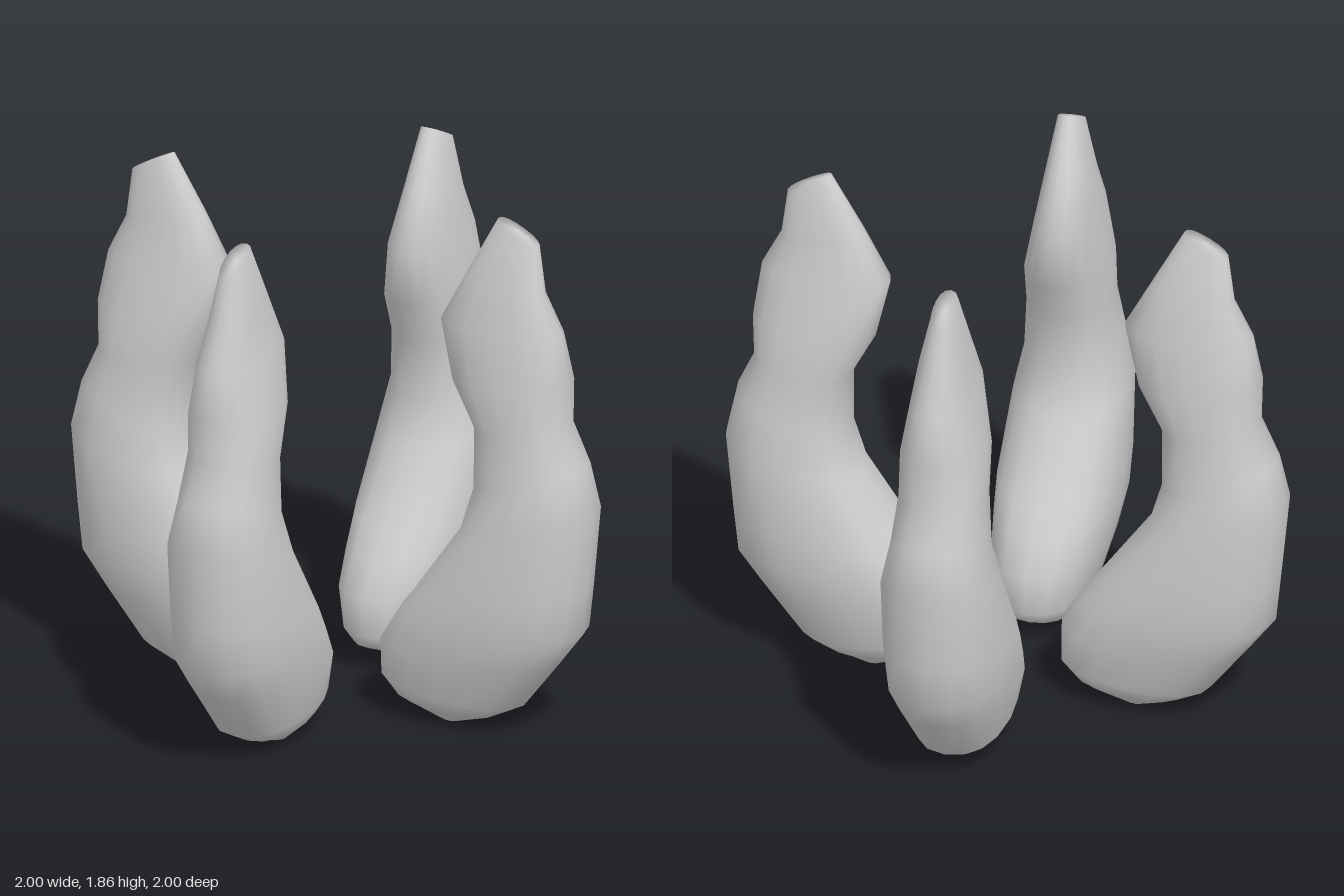
import * as THREE from 'three';

// Cross-sections of one stone, bottom to top:
// inner edge x, y; outer edge x, y; half thickness; sideways shift
const SECTIONS = [
  [0.43, 0.005, 0.52, 0.01, 0.06, 0],
  [0.24, 0.085, 0.63, 0.04, 0.12, 0],
  [0.195, 0.14, 0.73, 0.09, 0.155, 0],
  [0.195, 0.275, 0.87, 0.27, 0.195, 0],
  [0.265, 0.39, 0.96, 0.39, 0.21, 0],
  [0.33, 0.475, 0.975, 0.55, 0.215, 0],
  [0.515, 0.73, 1.0, 0.84, 0.2, 0],
  [0.56, 0.88, 0.965, 1.0, 0.165, 0],
  [0.56, 1.1, 0.9, 1.14, 0.15, 0],
  [0.475, 1.26, 0.91, 1.3, 0.145, 0.005],
  [0.425, 1.475, 0.885, 1.475, 0.105, 0.015],
  [0.52, 1.65, 0.815, 1.61, 0.08, 0.015],
  [0.635, 1.86, 0.79, 1.78, 0.042, 0.005],
];
const SIDES = 16;

// Slightly blunted ellipse
const blunt = (v) => Math.sign(v) * Math.pow(Math.abs(v), 0.88);

function stoneGeometry() {
  const pos = [];
  const index = [];
  for (const [xi, yi, xo, yo, w, shift] of SECTIONS) {
    for (let j = 0; j < SIDES; j++) {
      const t = (j / SIDES) * Math.PI * 2;
      const k = (blunt(Math.cos(t)) + 1) / 2;
      pos.push(xi + (xo - xi) * k, yi + (yo - yi) * k, shift + w * blunt(Math.sin(t)));
    }
  }
  // Skin between neighbouring sections
  for (let i = 0; i < SECTIONS.length - 1; i++) {
    for (let j = 0; j < SIDES; j++) {
      const a = i * SIDES + j;
      const b = i * SIDES + ((j + 1) % SIDES);
      index.push(a, a + SIDES, b, b, a + SIDES, b + SIDES);
    }
  }
  // End caps
  const last = SECTIONS.length - 1;
  for (const i of [0, last]) {
    const [xi, yi, xo, yo, , shift] = SECTIONS[i];
    const centre = pos.length / 3;
    pos.push((xi + xo) / 2, (yi + yo) / 2 + (i ? 0.004 : -0.004), shift);
    for (let j = 0; j < SIDES; j++) {
      const a = i * SIDES + j;
      const b = i * SIDES + ((j + 1) % SIDES);
      if (i) index.push(centre, b, a);
      else index.push(centre, a, b);
    }
  }
  const geometry = new THREE.BufferGeometry();
  geometry.setAttribute('position', new THREE.Float32BufferAttribute(pos, 3));
  geometry.setIndex(index);
  geometry.computeVertexNormals();
  return geometry;
}

export function createModel() {
  const group = new THREE.Group();
  group.name = 'standingStones';
  const geometry = stoneGeometry();
  const material = new THREE.MeshStandardMaterial({ color: 0xcccccc });
  // Four equal stones turned around the centre
  ['leftStone', 'backStone', 'rightStone', 'frontStone'].forEach((name, i) => {
    const stone = new THREE.Mesh(geometry, material);
    stone.name = name;
    stone.rotation.y = (i * Math.PI) / 2;
    group.add(stone);
  });
  return group;
}
